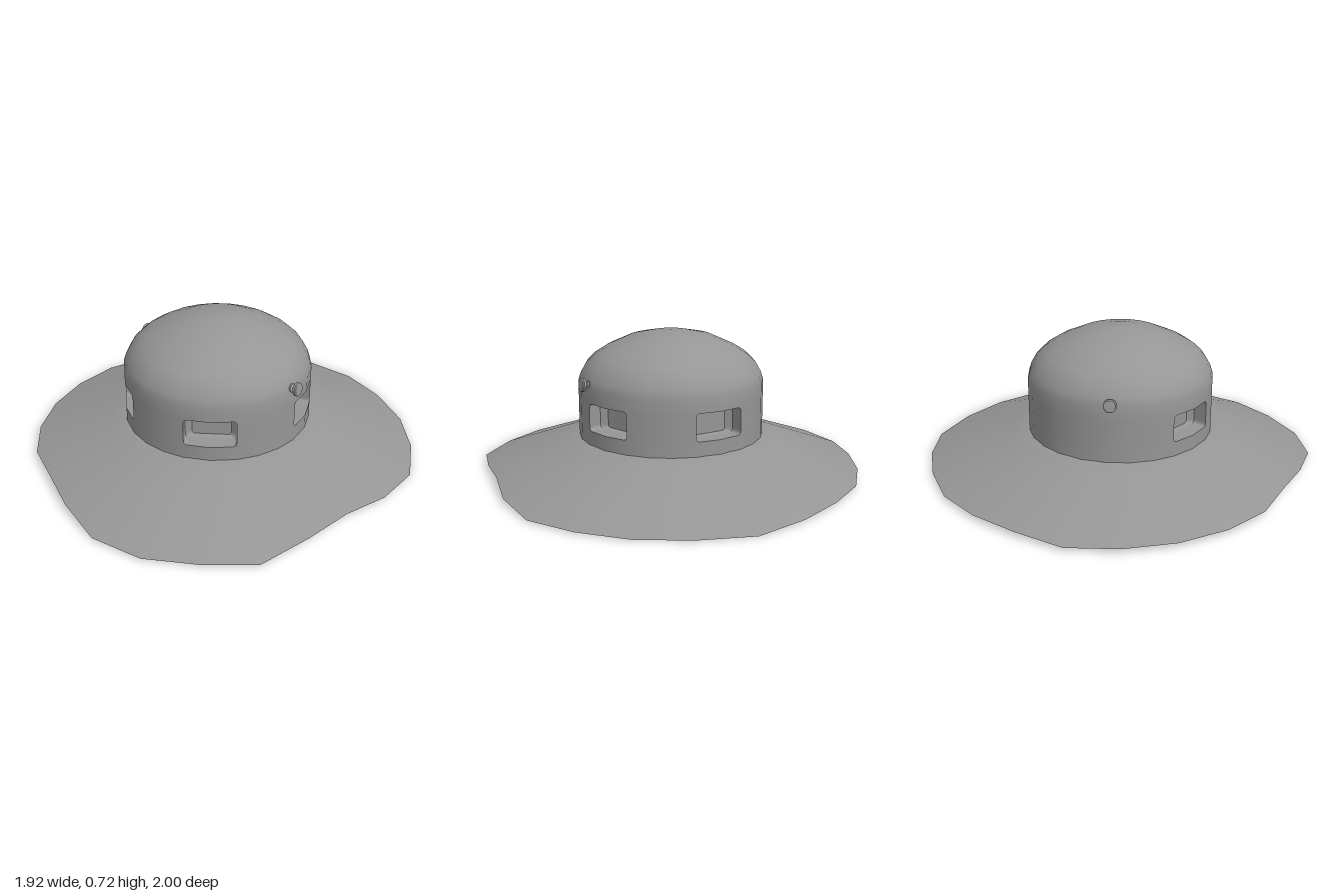
import * as THREE from 'three';

const CX = 0.025, CZ = 0.032, R = 0.473;  // crown axis and radius
const SILL = 0.26, HEAD = 0.4;            // window bottom and top
const HALF = 15.8;                        // half angle of a window
const rad = THREE.MathUtils.degToRad;

const color = 0x969696;
const smooth = new THREE.MeshStandardMaterial({ color, side: THREE.DoubleSide });
const flat = new THREE.MeshStandardMaterial({ color, side: THREE.DoubleSide, flatShading: true });

// Surface through closed rows of [x, y, z] points, bottom (or outer) row first
function sheet(rows, skip = () => false) {
  const n = rows[0].length, index = [];
  for (let i = 0; i < rows.length - 1; i++) {
    for (let j = 0; j < n; j++) {
      if (skip(i, j)) continue;
      const k = (j + 1) % n, a = i * n, b = a + n;
      index.push(a + j, b + j, a + k, b + j, b + k, a + k);
    }
  }
  const g = new THREE.BufferGeometry();
  g.setAttribute('position', new THREE.Float32BufferAttribute(rows.flat(2), 3));
  g.setIndex(index);
  g.computeVertexNormals();
  return g;
}

function mesh(name, geometry, material, parent) {
  const m = new THREE.Mesh(geometry, material);
  m.name = name;
  parent.add(m);
  return m;
}

const polar = (r, y, deg) => [r * Math.cos(rad(deg)), y, r * Math.sin(rad(deg))];

// Window outline with rounded corners and a midpoint on the top and bottom edges;
// depth(x) gives the distance from the crown axis
function windowLoop(w, h, corner, depth) {
  const points = [], mid = (SILL + HEAD) / 2;
  const add = (x, y) => points.push([x, mid + y, depth(x)]);
  [[1, 1], [-1, 1], [-1, -1], [1, -1]].forEach(([sx, sy], q) => {
    for (let s = 0; s <= 3; s++) {
      const a = rad(q * 90 + s * 30);
      add(sx * (w - corner) + corner * Math.cos(a), sy * (h - corner) + corner * Math.sin(a));
    }
    if (q % 2 === 0) add(0, sy * h);
  });
  return points.reverse();
}

export function createModel() {
  const model = new THREE.Group();
  model.name = 'domedHat';
  const body = new THREE.Group();
  body.name = 'body';
  body.position.set(CX, 0, CZ);
  model.add(body);

  // Domed crown: five 72-degree sectors, with a window hole in all but the third
  const angles = [];
  for (let s = 0; s < 5; s++) {
    for (const d of [-HALF, 0, HALF, 29, 43]) angles.push(45 + 72 * s + d);
  }
  const profile = [[R, 0.17], [R, SILL], [R, HEAD], [R, 0.47], [0.46, 0.51], [0.432, 0.56], [0.39, 0.6],
    [0.33, 0.638], [0.215, 0.69], [0.1, 0.714], [0, 0.72]];
  const isHole = (i, j) => i === 1 && j % 5 < 2 && Math.floor(j / 5) !== 2;
  mesh('crown', sheet(profile.map(([r, y]) => angles.map(a => polar(r, y, a))), isHole), smooth, body);

  // Sloping brim with an uneven rim, cut from one cone
  const rim = [0.915, 0.945, 1.015, 1.005, 1.015, 1.0, 0.94, 0.91, 0.94, 0.95, 0.96, 0.97,
    0.985, 0.96, 0.965, 0.98, 0.98, 1.0, 1.032, 1.02, 1.02, 1.015, 1.015, 0.965];
  const ring = (r, y) => rim.map((_, i) => polar(r, y, i * 15));
  const edge = rim.map((r, i) => polar(r, 0.175 - 0.36 * (r - 0.55), i * 15));
  mesh('brim', sheet([edge, ring(0.55, 0.175), ring(R - 0.01, 0.19)]), smooth, body);

  // Window recesses: rounded opening, straight walls, chamfered end and back panel
  const w = R * Math.sin(rad(HALF)), h = (HEAD - SILL) / 2;
  const wall = x => R - Math.abs(x) / w * R * (1 - Math.cos(rad(HALF)));
  const recess = sheet([
    windowLoop(w, h, 0, wall),
    windowLoop(w - 0.002, h - 0.001, 0.018, wall),
    windowLoop(w - 0.004, h - 0.001, 0.018, () => 0.385),
    windowLoop(w - 0.034, h - 0.006, 0.014, () => 0.36),
    windowLoop(0, 0, 0, () => 0.36),
  ]);
  for (const deg of [45, 117, 261, 333]) {
    mesh('windowRecess', recess, flat, body).rotation.y = Math.PI / 2 - rad(deg);
  }

  // Two opposite side knobs: flange, stem and disc head
  const knobProfile = [[0, 0.003], [0.022, 0.003], [0.022, 0.012], [0.011, 0.017], [0.011, 0.028],
    [0.033, 0.033], [0.033, 0.044], [0.027, 0.048], [0, 0.049]].map(p => new THREE.Vector2(...p));
  for (const deg of [-9, 171]) {
    const k = mesh('knob', new THREE.LatheGeometry(knobProfile, 16), flat, body);
    const out = new THREE.Vector3(...polar(1, 0.15, deg)).normalize();
    k.quaternion.setFromUnitVectors(new THREE.Vector3(0, 1, 0), out);
    k.position.set(...polar(0.458, 0.485, deg));
  }
  return model;
}
